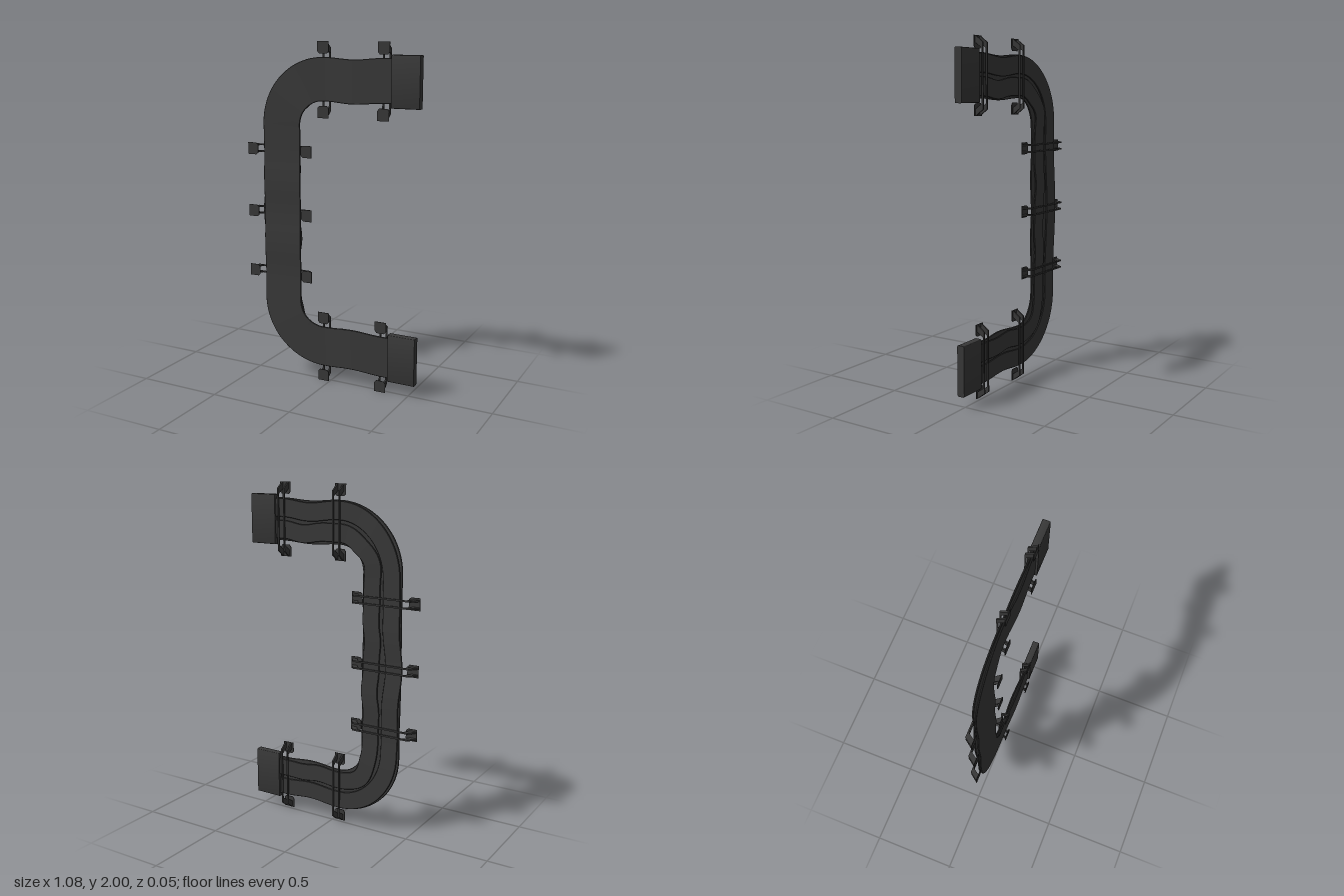
import * as THREE from 'three';
import { toCreasedNormals } from 'three/addons/utils/BufferGeometryUtils.js';

const mat = new THREE.MeshStandardMaterial({ color: 0x383838, side: THREE.DoubleSide });

// Centre line of the C-shaped run: s = 0 at mid height, positive upwards
const RISE = 0.52, R = 0.27, ARC = R * Math.PI / 2, END = RISE + ARC + 0.45;
const NODES = [0, 0.375, RISE + ARC + 0.01, RISE + ARC + 0.38]; // clamped places

function frame(s) {
  const a = Math.abs(s), m = s < 0 ? -1 : 1;
  let x = -0.32, y = a, nx = -1, ny = 0;
  if (a > RISE + ARC) {
    x = -0.05 + a - RISE - ARC; y = RISE + R; nx = 0; ny = 1;
  } else if (a > RISE) {
    const t = (a - RISE) / R;
    nx = -Math.cos(t); ny = Math.sin(t);
    x = -0.05 + R * nx; y = RISE + R * ny;
  }
  return { x, y: 1 + m * y, nx, ny: m * ny };
}

// 0 at each clamp, 1 midway between two clamps
function slack(s, first = 0) {
  const a = Math.abs(s);
  for (let i = first; i < 3; i++) {
    if (a >= NODES[i] && a <= NODES[i + 1]) {
      return Math.sin(Math.PI * (a - NODES[i]) / (NODES[i + 1] - NODES[i])) ** 2;
    }
  }
  return 0;
}

// Flat band with rounded edges swept along the run
function band(name, width, thick, side, depth) {
  const w = width / 2, h = thick / 2, c = h * 0.6;
  const section = [[w, -h + c], [w, h - c], [w - c, h], [-w + c, h],
    [-w, h - c], [-w, -h + c], [-w + c, -h], [w - c, -h]];
  const steps = 160, n = section.length, pos = [], idx = [];
  for (let i = 0; i <= steps; i++) {
    const s = -END + 2 * END * i / steps, f = frame(s);
    for (const [u, v] of section) {
      const o = u + side(s);
      pos.push(f.x + f.nx * o, f.y + f.ny * o, v + depth(s));
    }
    if (i === steps) break;
    for (let j = 0; j < n; j++) {
      const a = i * n + j, b = i * n + (j + 1) % n;
      idx.push(a, b, b + n, a, b + n, a + n);
    }
  }
  const g = new THREE.BufferGeometry();
  g.setAttribute('position', new THREE.Float32BufferAttribute(pos, 3));
  g.setIndex(idx);
  const mesh = new THREE.Mesh(toCreasedNormals(g, 0.6), mat);
  mesh.name = name;
  return mesh;
}

const polygon = pts => new THREE.Shape(pts.map(p => new THREE.Vector2(...p)));

// Bracket across the bands: two bent bars and a foot plate at each end
function bracket(x, y, angle) {
  const g = new THREE.Group();
  g.name = 'bracket';
  const barGeo = new THREE.ExtrudeGeometry(polygon([
    [-0.213, 0.021], [-0.177, -0.027], [0.177, -0.027], [0.213, 0.021],
    [0.175, 0.021], [0.147, -0.019], [-0.147, -0.019], [-0.175, 0.021]]),
  { depth: 0.009, bevelEnabled: false });
  barGeo.rotateX(Math.PI / 2).translate(0, 0.0045, 0);
  const footGeo = new THREE.ExtrudeGeometry(polygon([
    [0.158, -0.035], [0.213, -0.035], [0.213, 0.035], [0.158, 0.035],
    [0.145, 0.024], [0.145, -0.024]]), { depth: 0.004, bevelEnabled: false });
  for (const m of [-1, 1]) {
    const bar = new THREE.Mesh(barGeo, mat);
    bar.name = 'bracketBar';
    bar.position.y = m * 0.02;
    const foot = new THREE.Mesh(footGeo, mat);
    foot.name = 'bracketFoot';
    foot.position.z = 0.02;
    foot.rotation.z = m < 0 ? Math.PI : 0;
    g.add(bar, foot);
  }
  g.position.set(x, y, 0);
  g.rotation.z = angle;
  return g;
}

// End connector: rounded profile drawn in y/z, extruded along x
function connector(y) {
  const w = 0.143, h = 0.022, c = 0.009;
  const s = new THREE.Shape();
  s.moveTo(-h + c, -w).lineTo(h - c, -w).quadraticCurveTo(h, -w, h, -w + c);
  s.lineTo(h, w - c).quadraticCurveTo(h, w, h - c, w);
  s.lineTo(-h + c, w).quadraticCurveTo(-h, w, -h, w - c);
  s.lineTo(-h, -w + c).quadraticCurveTo(-h, -w, -h + c, -w);
  const g = new THREE.ExtrudeGeometry(s, { depth: 0.165, bevelEnabled: false, curveSegments: 5 });
  g.rotateY(Math.PI / 2);
  const mesh = new THREE.Mesh(toCreasedNormals(g, 0.6), mat);
  mesh.name = 'endConnector';
  mesh.position.set(0.375, y, -0.001);
  return mesh;
}

export function createModel() {
  const model = new THREE.Group();
  model.name = 'cableRun';

  // Wide band in front, two narrower wandering bands behind it
  const dip = s => -0.011 * slack(s, 2);
  const behind = s => -0.007 - 0.005 * slack(s);
  const bump = s => (Math.abs(s) < 0.25 ? 0.02 * Math.cos(Math.PI * s / 0.5) ** 2 : 0);
  model.add(
    band('frontBand', 0.245, 0.009, dip, s => 0.005 + 0.006 * slack(s)),
    band('outerBackBand', 0.105, 0.009, s => 0.066 + dip(s) + bump(s) - 0.006 * slack(s, 1), behind),
    band('innerBackBand', 0.105, 0.009, s => -0.058 + dip(s) + 0.012 * Math.sin(s * 14) * slack(s), behind));

  // Brackets on the upright and on both arms
  for (const y of [0.63, 1, 1.375]) model.add(bracket(-0.33, y, 0));
  for (const y of [0.213, 1.787]) {
    for (const x of [-0.04, 0.33]) model.add(bracket(x, y, Math.PI / 2));
    model.add(connector(y));
  }
  return model;
}
